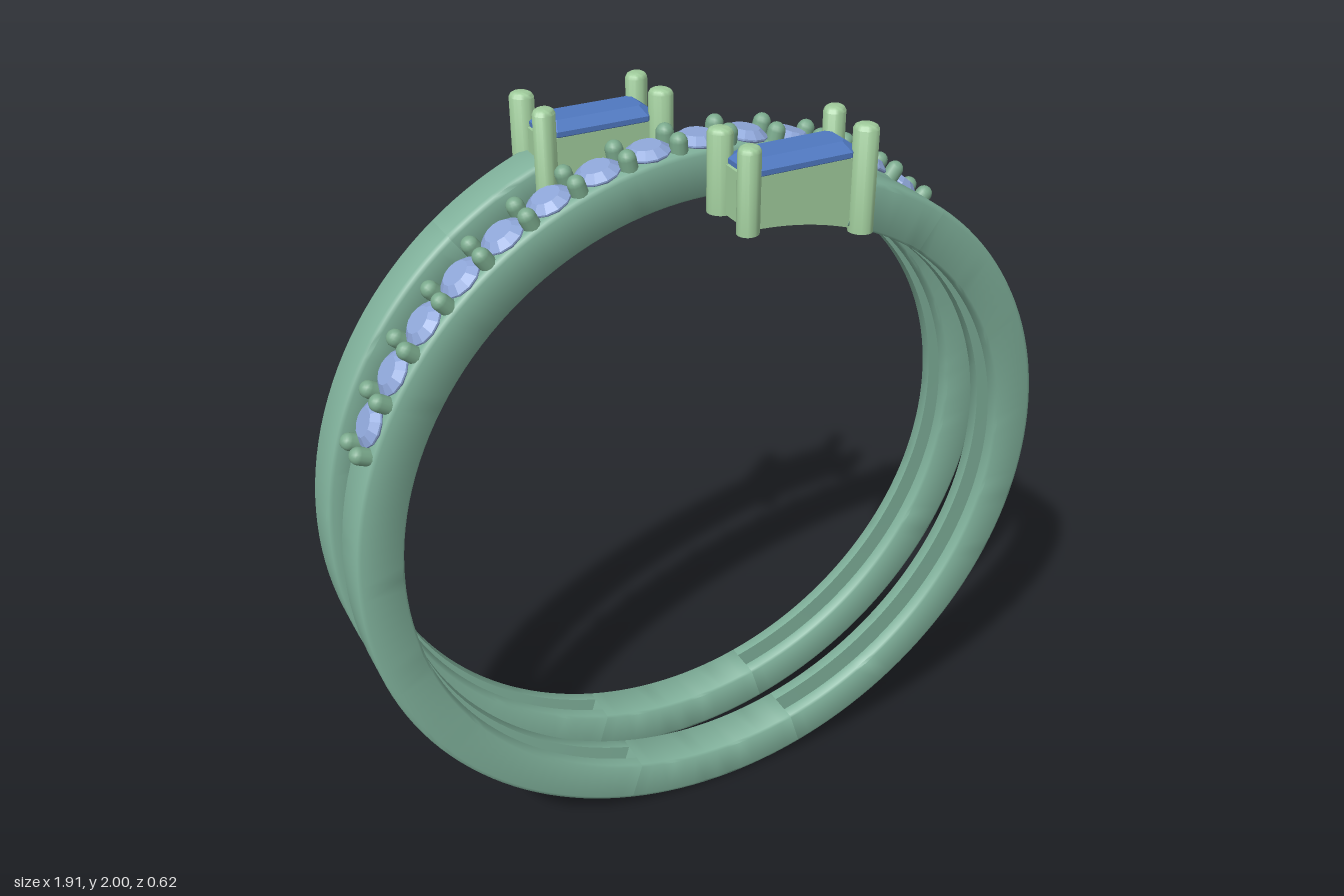
import * as THREE from 'three';
import { toCreasedNormals } from 'three/addons/utils/BufferGeometryUtils.js';

const CY = 0.96, R_IN = 0.835, R_OUT = 0.955, HALF_W = 0.061, PITCH = 0.23;
const mat = (color, flatShading = false) =>
  new THREE.MeshStandardMaterial({ color, flatShading });
const bandMat = mat(0x7fb09a), settingMat = mat(0xa0cc9c), beadMat = mat(0x7aa98c);
const bigGemMat = mat(0x4f78c0, true), smallGemMat = mat(0x8ea6d8, true);

// Height of the coil axis: the angle t runs clockwise from the top, two turns
const coilZ = (t) => PITCH * (1 - t / (2 * Math.PI));

function add(parent, name, geometry, material) {
  const mesh = new THREE.Mesh(geometry, material);
  mesh.name = name;
  parent.add(mesh);
  return mesh;
}

// Band cross-section as [radius, z offset]; a channel may be cut in the inner face
function section(channel) {
  const b = 0.014, k = 0.3 * b, w = HALF_W;
  const pts = [
    [R_IN, -w + 0.006], [R_IN + 0.006, -w],
    [R_OUT - b, -w], [R_OUT - k, -w + k], [R_OUT, -w + b],
    [R_OUT, w - b], [R_OUT - k, w - k], [R_OUT - b, w],
    [R_IN + 0.006, w], [R_IN, w - 0.006],
  ];
  if (channel) pts.push([R_IN, 0.025], [0.915, 0.025], [0.915, -0.025], [R_IN, -0.025]);
  return pts;
}

// Sweep the section along the coil from t0 to t1
function sweep(t0, t1, channel) {
  const pts = section(channel), n = pts.length;
  const steps = Math.max(4, Math.ceil((t1 - t0) * 24));
  const pos = [];
  const put = (s, i) => {
    const t = t0 + (t1 - t0) * s / steps, [r, z] = pts[i % n];
    pos.push(Math.sin(t) * r, CY + Math.cos(t) * r, coilZ(t) + z);
  };
  for (let s = 0; s < steps; s++) {
    for (let i = 0; i < n; i++) {
      put(s, i); put(s, i + 1); put(s + 1, i + 1);
      put(s, i); put(s + 1, i + 1); put(s + 1, i);
    }
  }
  // solid pieces are capped; they also close the ends of the channels
  if (!channel) {
    for (let i = 1; i < n - 1; i++) {
      put(0, 0); put(0, i + 1); put(0, i);
      put(steps, 0); put(steps, i); put(steps, i + 1);
    }
  }
  const g = new THREE.BufferGeometry();
  g.setAttribute('position', new THREE.Float32BufferAttribute(pos, 3));
  return toCreasedNormals(g, 0.9);
}

// Side outline of the stone setting: flat top, underside curved to radius r
function settingProfile(r, w) {
  const s = new THREE.Shape();
  s.moveTo(0, 1.92);
  s.lineTo(0, CY + r);
  s.absarc(0, CY, r, Math.PI / 2, Math.acos(w / r), true);
  s.lineTo(w, 1.92);
  s.closePath();
  return s;
}

function slab(shape, depth, z) {
  return new THREE.ExtrudeGeometry(shape, { depth, bevelEnabled: false, curveSegments: 12 })
    .translate(0, 0, z);
}

// Cut-corner rectangular stone in a four-prong basket
function createSetting() {
  const g = new THREE.Group();
  g.name = 'stoneSetting';
  const w = 0.305, zc = 0.215, d = 0.062;
  add(g, 'settingFloor', slab(settingProfile(0.875, w), 2 * d - 0.02, zc - d + 0.01), settingMat);
  for (const z of [zc - d, zc + d - 0.018]) {
    add(g, 'settingWall', slab(settingProfile(R_IN, w), 0.018, z), settingMat);
  }
  for (const x of [0.01, w - 0.01]) {
    const y0 = CY + Math.sqrt(R_IN ** 2 - x ** 2) + 0.004;
    add(g, 'settingEnd', new THREE.BoxGeometry(0.02, 1.92 - y0, 2 * d - 0.02), settingMat)
      .position.set(x, (1.92 + y0) / 2, zc);
  }
  // prongs: slightly oval posts with softly rounded tops
  for (const x of [0, w]) {
    const y0 = CY + Math.sqrt(R_IN ** 2 - x ** 2);
    const h = 2 - y0, r = 0.027;
    const profile = [[0, 0], [r, 0], [r, h - 0.012], [r * 0.85, h - 0.004], [r * 0.6, h], [0, h]]
      .map(([a, b]) => new THREE.Vector2(a, b));
    const post = toCreasedNormals(new THREE.LatheGeometry(profile, 20), 0.7);
    for (const sz of [-1, 1]) {
      const prong = add(g, 'prong', post, settingMat);
      prong.position.set(x, y0, zc + sz * 0.067);
      prong.scale.x = 1.15;
      prong.rotation.y = (x > 0 ? -1 : 1) * sz * Math.PI / 4;
    }
  }
  // stone
  const a = 0.12, b = 0.038, c = 0.012;
  const oct = new THREE.Shape([
    [a, -b + c], [a, b - c], [a - c, b], [-a + c, b],
    [-a, b - c], [-a, -b + c], [-a + c, -b], [a - c, -b],
  ].map(([x, y]) => new THREE.Vector2(x, y)));
  const cut = new THREE.ExtrudeGeometry(oct, {
    depth: 0.012, bevelEnabled: true, bevelSize: 0.028, bevelThickness: 0.02, bevelSegments: 1,
  });
  cut.rotateX(-Math.PI / 2);
  add(g, 'rectangularStone', cut, bigGemMat).position.set(w / 2, 1.923, zc);
  return g;
}

// Put a part on the outer face of the middle coil at angle a from the top
function placeOnCoil(mesh, a, r, dz) {
  mesh.position.set(Math.sin(a) * r, CY + Math.cos(a) * r, coilZ(2 * Math.PI + a) + dz);
  mesh.rotation.z = -a;
}

export function createModel() {
  const model = new THREE.Group();
  model.name = 'coiledRing';

  // band: solid pieces at the ends and the bottom, channelled pieces between
  const band = new THREE.Group();
  band.name = 'band';
  model.add(band);
  const P = Math.PI, gap = 0.29;
  const cuts = [0.33, 0.63, P - gap, P + gap, 3 * P - gap, 3 * P + gap, 4 * P - 0.63, 4 * P - 0.33];
  for (let i = 0; i < cuts.length - 1; i++) {
    const channel = i % 2 === 1;
    add(band, channel ? 'channelledBand' : 'solidBand', sweep(cuts[i], cuts[i + 1], channel), bandMat);
  }

  // two settings, one at each end of the coil
  const front = createSetting(), back = createSetting();
  back.rotation.y = Math.PI;
  model.add(front, back);

  // row of round stones with pairs of bead prongs between them
  const row = new THREE.Group();
  row.name = 'stoneRow';
  model.add(row);
  const round = new THREE.LatheGeometry(
    [[0, -0.07], [0.058, 0], [0.058, 0.004], [0.036, 0.02], [0, 0.02]]
      .map(([x, y]) => new THREE.Vector2(x, y)), 12);
  const bead = new THREE.CapsuleGeometry(0.022, 0.04, 5, 12);
  const step = 0.139, first = -8, last = 5, mid = 0.02;
  for (let k = first; k <= last; k++) {
    placeOnCoil(add(row, 'roundStone', round, smallGemMat), mid + step * k, 0.957, 0);
  }
  for (let k = first; k <= last + 1; k++) {
    for (const dz of [-0.035, 0.035]) {
      placeOnCoil(add(row, 'beadProng', bead, beadMat), mid + step * (k - 0.5), 0.958, dz);
    }
  }
  return model;
}
